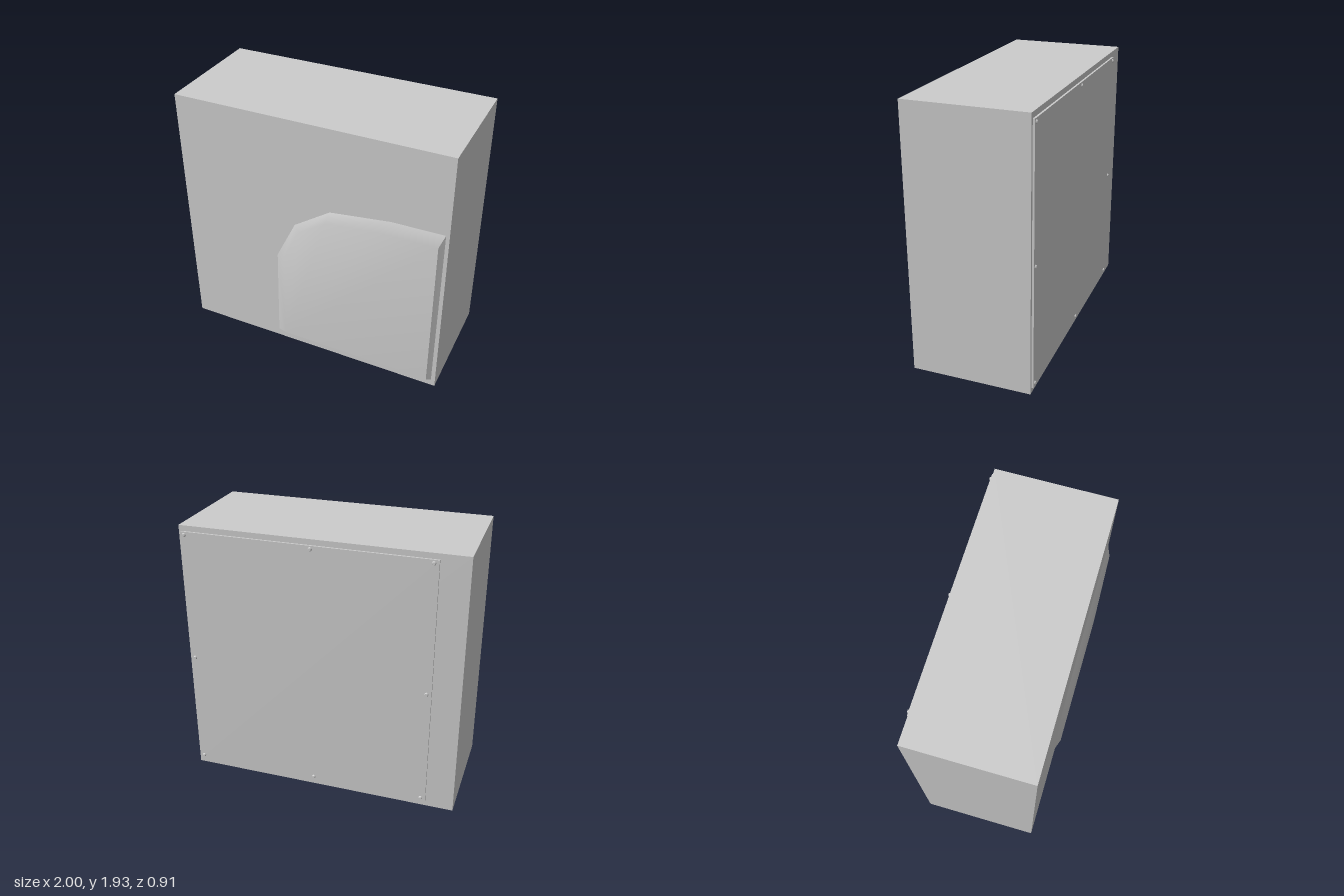
import * as THREE from 'three';
import { toCreasedNormals } from 'three/addons/utils/BufferGeometryUtils.js';

const grey = new THREE.MeshStandardMaterial({ color: 0xcccccc });

function add(parent, name, geometry, x = 0, y = 0, z = 0) {
  const mesh = new THREE.Mesh(geometry, grey);
  mesh.name = name;
  mesh.position.set(x, y, z);
  parent.add(mesh);
  return mesh;
}

// Raised panel: a base outline joined to a smaller front outline, both counter-clockwise.
function raisedPanel(outer, inner, zBack, zFront) {
  const n = outer.length;
  const positions = [...outer.map(([x, y]) => [x, y, zBack]), ...inner.map(([x, y]) => [x, y, zFront])].flat();
  const index = [];
  for (let i = 0; i < n; i++) {
    const j = (i + 1) % n;
    index.push(i, j, n + j, i, n + j, n + i);
    if (i > 0 && i < n - 1) index.push(n, n + i, n + i + 1);
  }
  const geometry = new THREE.BufferGeometry();
  geometry.setAttribute('position', new THREE.Float32BufferAttribute(positions, 3));
  geometry.setIndex(index);
  return toCreasedNormals(geometry, 0.6);
}

export function createModel() {
  const model = new THREE.Group();
  model.name = 'cabinet';

  // Main housing
  add(model, 'housing', new THREE.BoxGeometry(2, 1.93, 0.862), 0, 0.965, -0.004);

  // Bevelled bulge with a rounded upper corner on the front
  const outer = [
    [-0.28, 0.06], [0.97, 0.055], [0.975, 1.355], [0.6, 1.35],
    [0.16, 1.295], [-0.11, 1.11], [-0.26, 0.8],
  ];
  const inner = [
    [-0.2, 0.075], [0.94, 0.07], [0.94, 1.265], [0.52, 1.26],
    [0.14, 1.215], [-0.07, 1.075], [-0.2, 0.8],
  ];
  add(model, 'frontBulge', raisedPanel(outer, inner, 0.427, 0.456));

  // Rear cover plate
  add(model, 'rearCover', new THREE.BoxGeometry(1.78, 1.85, 0.016), 0.09, 0.965, -0.441);

  // Screws around the edge of the cover
  const screws = new THREE.Group();
  screws.name = 'coverScrews';
  model.add(screws);
  const head = new THREE.CylinderGeometry(0.01, 0.016, 0.012, 8).rotateX(-Math.PI / 2);
  [-0.765, 0.05, 0.957].forEach((x, i) => {
    [0.07, 0.93, 1.867].forEach((y, j) => {
      if (i !== 1 || j !== 1) add(screws, 'coverScrew', head, x, y, -0.453);
    });
  });

  return model;
}
